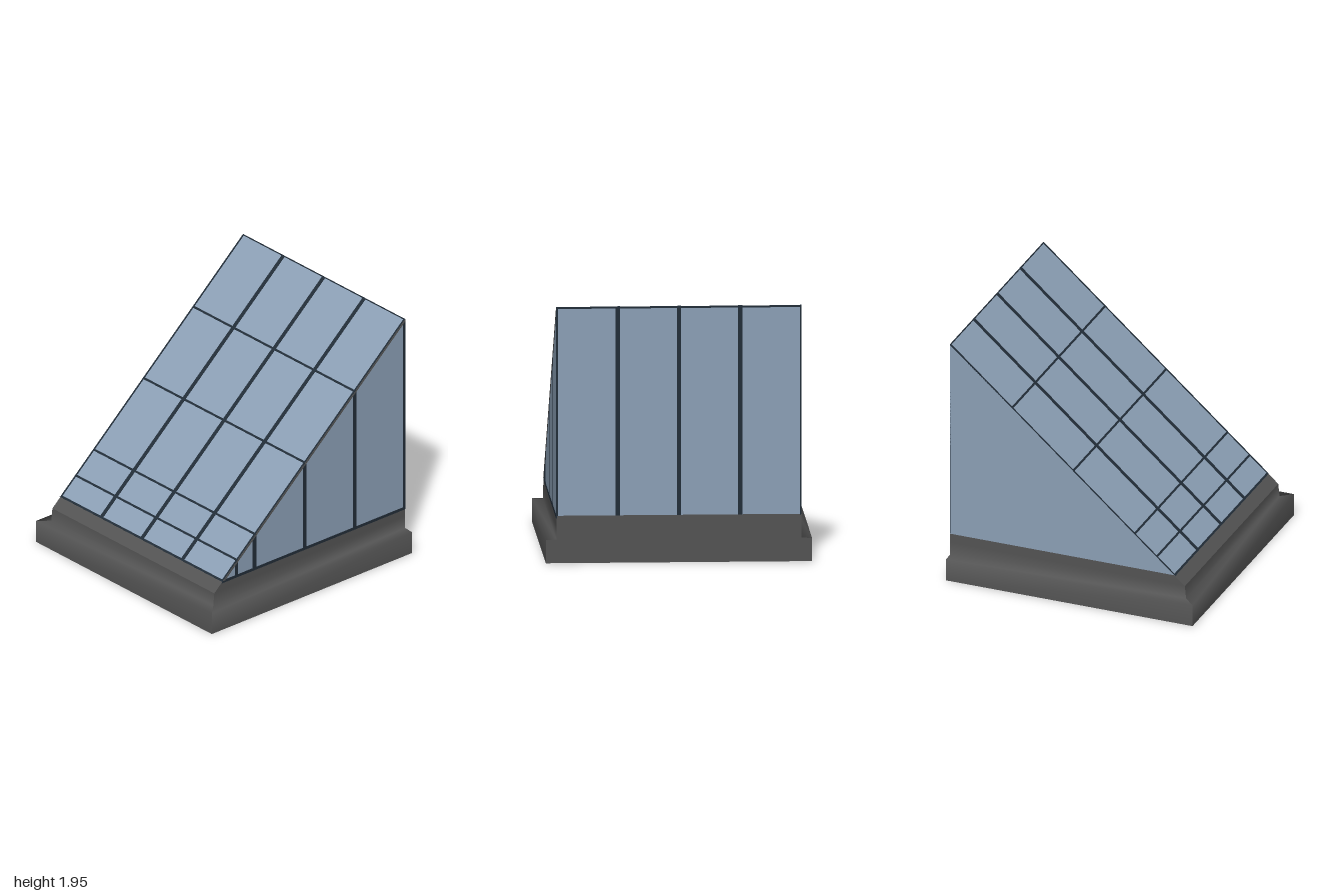
import * as THREE from 'three';

const mat = (name, color) => new THREE.MeshStandardMaterial({ name, color, side: THREE.DoubleSide });

// Roof plane runs from the low eave up to the high right-hand wall
const EAVE = [-0.82, 0.355], RIDGE = [1, 1.945], HALF = 0.92;
const SLOPE = (RIDGE[1] - EAVE[1]) / (RIDGE[0] - EAVE[0]);
const roofY = (x) => RIDGE[1] + (x - RIDGE[0]) * SLOPE;

// Surface between two matching rows of points, smooth along the profile
function strip(a, b) {
  const geo = new THREE.BufferGeometry();
  const index = [];
  for (let i = 0; i < a.length - 1; i++) {
    const k = i * 2;
    index.push(k, k + 1, k + 3, k, k + 3, k + 2);
  }
  geo.setAttribute('position', new THREE.Float32BufferAttribute(a.flatMap((p, i) => [...p, ...b[i]]), 3));
  geo.setIndex(index);
  geo.computeVertexNormals();
  return geo;
}

// Flat polygon in x and y, extruded by a thin depth
function plate(points, depth) {
  const shape = new THREE.Shape(points.map(([x, y]) => new THREE.Vector2(x, y)));
  return new THREE.ExtrudeGeometry(shape, { depth, bevelEnabled: false });
}

export function createModel() {
  const model = new THREE.Group();
  model.name = 'slopedSkylight';
  const curb = mat('curbGrey', 0x545454);
  const glass = mat('paneBlueGrey', 0x8ca0b6);
  const frame = mat('frameDark', 0x222d38);

  const add = (name, geo, material, parent = model) => {
    const mesh = new THREE.Mesh(geo, material);
    mesh.name = name;
    parent.add(mesh);
    return mesh;
  };

  // Curb: hollow stepped shell, open underneath, profile as x, y, half depth
  const profile = [[-1, 0, 1], [-1, 0.175, 1], [-0.915, 0.18, HALF], [-0.905, 0.28, HALF]];
  const full = [...profile, [EAVE[0], EAVE[1], HALF]];
  const corner = (rows, s) => rows.map(([x, y, z]) => [x, y, z * s]);
  const rightEnd = (s) => full.map(([, y, z]) => [1, y, z * s]);
  add('curbFront', strip(corner(full, 1), rightEnd(1)), curb);
  add('curbBack', strip(rightEnd(-1), corner(full, -1)), curb);
  add('curbLeft', strip(corner(profile, -1), corner(profile, 1)), curb);
  add('curbEave', strip(corner(full.slice(3), -1), corner(full.slice(3), 1)), curb);
  const end = new THREE.Shape([[-1, 0], [1, 0], [1, 0.175], [HALF, 0.18], [HALF, 0.36],
    [-HALF, 0.36], [-HALF, 0.18], [-1, 0.175]].map(([z, y]) => new THREE.Vector2(z, y)));
  add('curbRight', new THREE.ShapeGeometry(end).rotateY(Math.PI / 2).translate(1, 0, 0), curb);

  // Glazing: roof, tall right wall and two triangular sides
  const eave = (s) => [...EAVE, HALF * s], ridge = (s) => [...RIDGE, HALF * s];
  add('roofGlass', strip([eave(1), ridge(1)], [eave(-1), ridge(-1)]), glass);
  add('rightGlass', strip([[1, EAVE[1], HALF], ridge(1)], [[1, EAVE[1], -HALF], ridge(-1)]), glass);
  const triangle = new THREE.Shape([EAVE, [1, EAVE[1]], RIDGE].map(([x, y]) => new THREE.Vector2(x, y)));
  for (const s of [1, -1]) {
    add(s > 0 ? 'frontGlass' : 'backGlass', new THREE.ShapeGeometry(triangle).translate(0, 0, HALF * s), glass);
  }

  // Side glazing bars; those at the back sit just inside the glass
  const sideBars = [[-0.685, 0.03], [-0.505, 0.035], [-0.002, 0.03], [0.495, 0.03], [0.99, 0.02]];
  for (const [side, z] of [['front', HALF - 0.005], ['back', -HALF + 0.002]]) {
    for (const [x, w] of sideBars) {
      const l = x - w / 2, r = x + w / 2;
      add(side + 'Bar', plate([[l, 0.35], [r, 0.35], [r, roofY(r)], [l, roofY(l)]], 0.008), frame).position.z = z;
    }
    const low = side === 'front' ? 0.34 : 0.355;
    add(side + 'SillRail', plate([[-0.835, low], [1, low], [1, 0.362], [-0.812, 0.362]], 0.008), frame).position.z = z;
  }

  // Thin grey trim following the sloping front edge
  add('frontEdgeTrim', plate([EAVE, [-0.8, EAVE[1]], [1, roofY(1) - 0.016], RIDGE], 0.007), curb).position.z = HALF - 0.003;

  // Right wall bars and top rail
  const bars = [-0.46, 0, 0.46];
  const wallHeight = RIDGE[1] - 0.36;
  for (const [z, w] of [...bars.map((b) => [b, 0.032]), [-0.914, 0.012], [0.914, 0.012]]) {
    add('rightBar', new THREE.BoxGeometry(0.008, wallHeight, w), frame).position.set(0.998, 0.36 + wallHeight / 2, z);
  }
  add('rightTopRail', new THREE.BoxGeometry(0.008, 0.014, HALF * 2), frame).position.set(0.998, RIDGE[1] - 0.007, 0);

  // Roof bars, built flat in a group tilted onto the roof plane
  const roof = new THREE.Group();
  roof.name = 'roofBars';
  roof.position.set(RIDGE[0], RIDGE[1], 0);
  roof.rotation.z = Math.atan(SLOPE);
  model.add(roof);
  const stretch = Math.hypot(1, SLOPE);
  const length = (RIDGE[0] - EAVE[0]) * stretch;
  for (const [z, w] of [...bars.map((b) => [b, 0.032]), [-0.914, 0.012], [0.914, 0.012]]) {
    add('rafterBar', new THREE.BoxGeometry(length, 0.007, w), frame, roof).position.set(-length / 2, 0, z);
  }
  for (const x of [-0.82, -0.675, -0.495, 0.002, 0.498]) {
    add('crossBar', new THREE.BoxGeometry(0.016, 0.006, HALF * 2), frame, roof).position.x = (x - 1) * stretch;
  }
  return model;
}
